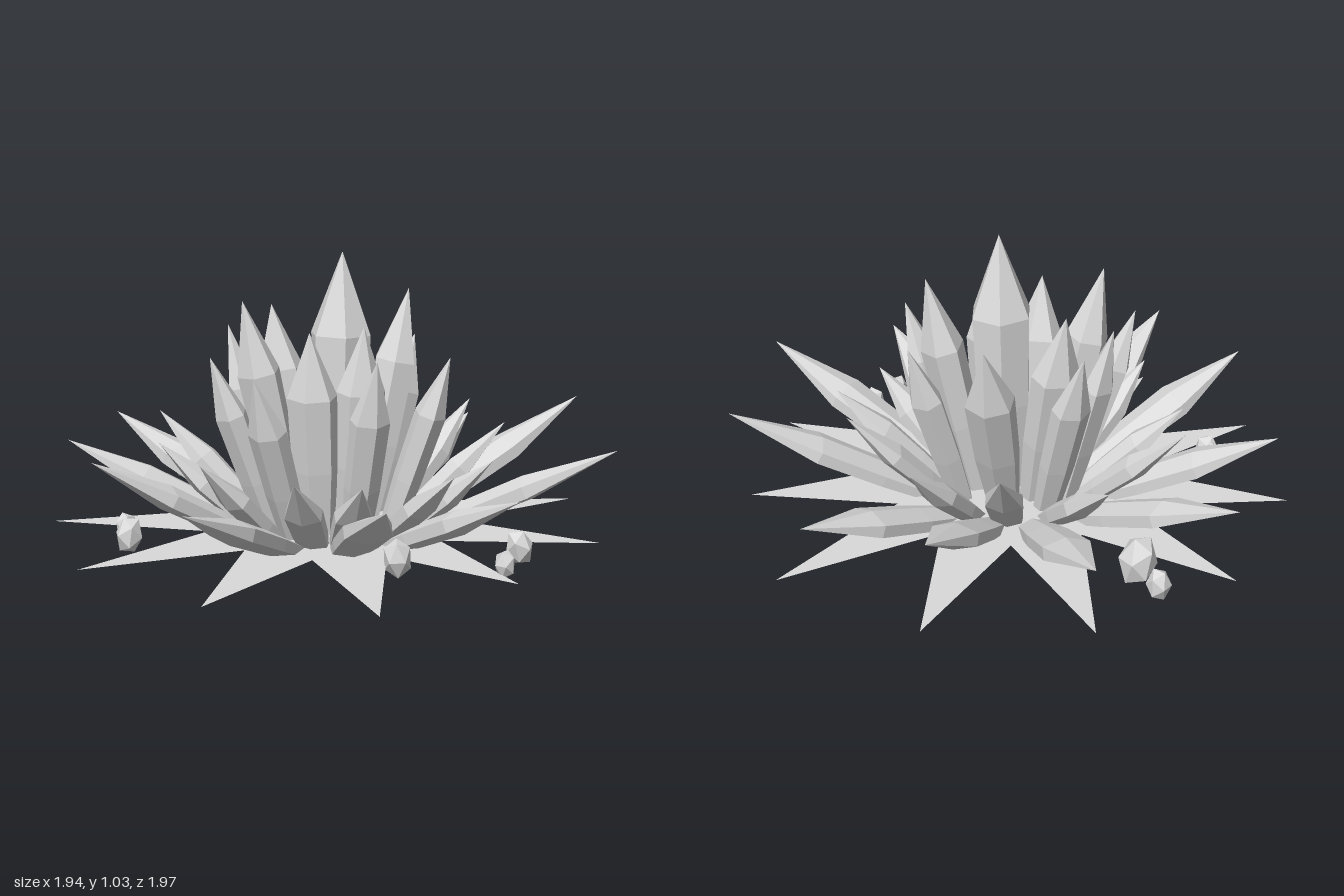
import * as THREE from 'three';

const stone = new THREE.MeshStandardMaterial({ color: 0xdadada, flatShading: true, side: THREE.DoubleSide });
stone.name = 'pale grey crystal';

// Unit spindle: narrow foot, broad shoulder, sharp tip
function spindle(shoulder) {
  const profile = [[0, 0], [0.66, 0], [0.92, shoulder * 0.5], [1, shoulder], [0, 1]];
  return new THREE.LatheGeometry(profile.map(([r, y]) => new THREE.Vector2(r, y)), 6);
}
const tallSpindle = spindle(0.7);
const leafSpindle = spindle(0.6);
const UP = new THREE.Vector3(0, 1, 0);

// Crystal leaning from a foot on a circle of radius baseR out to its tip
function crystal(name, [x, y, z], { shape, baseR, footY, width, depth }) {
  const tip = new THREE.Vector3(x, y, z);
  const foot = new THREE.Vector3(x, 0, z);
  foot.setLength(Math.min(baseR, foot.length()));
  foot.y = footY;
  const axis = tip.clone().sub(foot);
  const mesh = new THREE.Mesh(shape, stone);
  mesh.name = name;
  mesh.position.copy(foot);
  mesh.scale.set(width, axis.length(), depth);
  // Turn the thin side outwards, then lean
  const yaw = new THREE.Quaternion().setFromAxisAngle(UP, Math.atan2(x, z));
  mesh.quaternion.setFromUnitVectors(UP, axis.normalize()).multiply(yaw);
  return mesh;
}

// Rings of crystals and their tip positions
const rings = [
  { name: 'centreCrystal', shape: tallSpindle, baseR: 0.03, footY: 0.08, width: 0.11, depth: 0.11,
    tips: [[0.02, 1.03, -0.05]] },
  { name: 'innerCrystal', shape: tallSpindle, baseR: 0.13, footY: 0.05, width: 0.088, depth: 0.075, tips: [
    [0.18, 0.89, -0.24], [-0.21, 0.88, 0.23], [-0.17, 0.77, -0.36], [0.17, 0.8, 0.07],
    [0.04, 0.79, 0.21], [-0.28, 0.82, -0.07]] },
  { name: 'uprightCrystal', shape: tallSpindle, baseR: 0.2, footY: 0.02, width: 0.07, depth: 0.055, tips: [
    [0.13, 0.7, -0.39], [0.41, 0.69, -0.1], [0.3, 0.72, 0.22], [-0.03, 0.67, 0.45],
    [-0.27, 0.7, 0.34], [-0.38, 0.76, 0.06], [-0.4, 0.73, -0.13]] },
  { name: 'middleCrystal', shape: leafSpindle, baseR: 0.22, footY: 0.025, width: 0.07, depth: 0.043, tips: [
    [0.5, 0.42, -0.37], [0.29, 0.45, -0.53], [-0.08, 0.4, -0.62], [-0.38, 0.45, -0.53],
    [-0.6, 0.36, -0.25], [-0.64, 0.43, 0.12], [-0.48, 0.38, 0.35], [-0.17, 0.39, 0.56],
    [0.18, 0.37, 0.55], [0.37, 0.36, 0.45], [0.58, 0.37, 0.22], [0.59, 0.36, -0.06]] },
  { name: 'outerCrystal', shape: leafSpindle, baseR: 0.25, footY: 0.035, width: 0.09, depth: 0.043, tips: [
    [0.06, 0.37, 0.99], [-0.43, 0.42, 0.79], [-0.83, 0.36, 0.41], [-0.97, 0.35, -0.06],
    [-0.83, 0.37, -0.63], [-0.38, 0.4, -0.88], [0.1, 0.29, -0.94], [0.62, 0.45, -0.76],
    [0.97, 0.41, -0.22], [0.83, 0.34, 0.27], [0.57, 0.37, 0.67]] },
];

// Loose floating stones: x, y, z, radius
const rocks = [
  [-0.81, 0.115, -0.26, 0.042], [-0.68, 0.115, -0.19, 0.066], [-0.5, 0.12, 0.52, 0.04],
  [-0.46, 0.11, 0.56, 0.048], [0.43, 0.105, 0.32, 0.05], [0.74, 0.115, 0.05, 0.047], [0.76, 0.11, 0.215, 0.036],
];

export function createModel() {
  const group = new THREE.Group();
  group.name = 'crystalCluster';

  for (const ring of rings) {
    ring.tips.forEach((tip, i) => group.add(crystal(`${ring.name}${i + 1}`, tip, ring)));
  }

  // Flat eleven-pointed star under the outer crystals
  const tipRadii = [0.89, 0.96, 0.95, 0.97, 0.975, 0.97, 0.96, 0.96, 1, 0.93, 0.95];
  const points = [];
  tipRadii.forEach((r, i) => {
    const a = THREE.MathUtils.degToRad(19 + i * 360 / 11);
    const b = a + Math.PI / 11;
    points.push(new THREE.Vector2(r * Math.cos(a), -r * Math.sin(a)));
    points.push(new THREE.Vector2(0.44 * Math.cos(b), -0.44 * Math.sin(b)));
  });
  const starGeometry = new THREE.ShapeGeometry(new THREE.Shape(points)).rotateX(-Math.PI / 2);
  const star = new THREE.Mesh(starGeometry, stone);
  star.name = 'groundStar';
  star.position.y = 0.08;
  group.add(star);

  // Stones
  const rockGeometry = new THREE.IcosahedronGeometry(1, 0);
  rocks.forEach(([x, y, z, r], i) => {
    const rock = new THREE.Mesh(rockGeometry, stone);
    rock.name = `looseStone${i + 1}`;
    rock.position.set(x, y, z);
    rock.scale.set(r, r * 1.4, r);
    rock.rotation.set(0.1 * (i % 3), 1.3 * i, 0.15 * (i % 2));
    group.add(rock);
  });
  return group;
}
